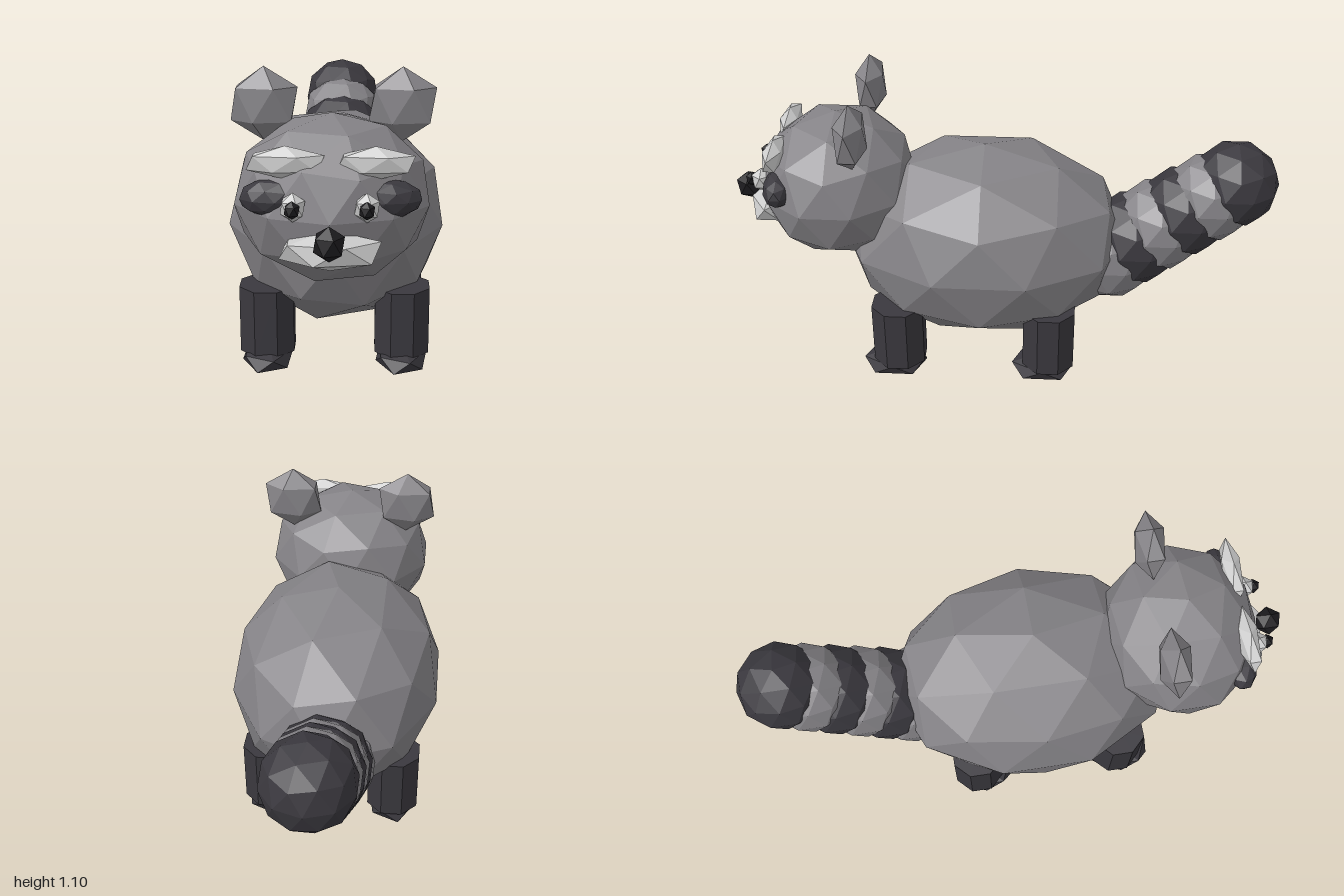
import * as THREE from 'three';

const material = (color) => new THREE.MeshStandardMaterial({ color, flatShading: true });

export function createModel() {
  const model = new THREE.Group();
  const fur = material(0x858387);
  const dark = material(0x3a383e);
  const light = material(0xcccccc);
  const black = material(0x1c1b1e);

  // Faceted ball with one corner pointing straight up
  function ball(name, mat, detail, [x, y, z], [rx, ry, rz], parent = model) {
    const geometry = new THREE.IcosahedronGeometry(1, detail);
    geometry.rotateX(-Math.atan2(1 + Math.sqrt(5), 2));
    geometry.rotateY(Math.PI / 2);
    geometry.scale(rx, ry, rz);
    geometry.computeVertexNormals();
    const mesh = new THREE.Mesh(geometry, mat);
    mesh.name = name;
    mesh.position.set(x, y, z);
    parent.add(mesh);
    return mesh;
  }

  function group(name) {
    const g = new THREE.Group();
    g.name = name;
    model.add(g);
    return g;
  }

  // Trunk
  ball('body', fur, 1, [0, 0.48, 0.07], [0.4, 0.377, 0.54]);

  // Head and face
  const head = group('head');
  ball('skull', fur, 1, [0, 0.7, 0.61], [0.32, 0.274, 0.29], head);
  ball('muzzle', light, 0, [0, 0.61, 0.867], [0.173, 0.065, 0.082], head);
  ball('nose', black, 0, [0, 0.66, 0.956], [0.052, 0.055, 0.052], head);
  for (const [side, s] of [['left', 1], ['right', -1]]) {
    ball(side + 'Ear', fur, 0, [s * 0.222, 0.98, 0.515], [0.121, 0.122, 0.06], head);
    ball(side + 'Brow', light, 0, [s * 0.135, 0.865, 0.81], [0.132, 0.052, 0.038], head);
    ball(side + 'EyePatch', dark, 1, [s * 0.165, 0.75, 0.79], [0.115, 0.062, 0.062], head);
    ball(side + 'Eye', light, 0, [s * 0.11, 0.745, 0.872], [0.042, 0.046, 0.042], head);
    ball(side + 'Pupil', black, 0, [s * 0.11, 0.747, 0.907], [0.026, 0.028, 0.026], head);
  }

  // Legs with paws
  for (const [end, z] of [['front', 0.38], ['rear', -0.18]]) {
    for (const [side, s] of [['Left', 1], ['Right', -1]]) {
      const limb = group(end + side + 'Leg');
      const shin = new THREE.Mesh(
        new THREE.CylinderGeometry(0.102, 0.102, 0.24, 8).rotateY(Math.PI / 8), dark);
      shin.name = 'shin';
      shin.position.set(s * 0.235, 0.19, z);
      limb.add(shin);
      ball('paw', dark, 0, [s * 0.235, 0.05, z + 0.02], [0.1, 0.048, 0.135], limb);
    }
  }

  // Ringed tail of overlapping balls, tapering to the tip
  const tail = group('tail');
  for (let i = 0; i < 6; i++) {
    const t = i / 5;
    const r = THREE.MathUtils.lerp(0.184, 0.16, t);
    const y = THREE.MathUtils.lerp(0.42, 0.725, t);
    const z = THREE.MathUtils.lerp(-0.4, -0.84, t);
    ball('tailRing' + (i + 1), i % 2 ? dark : fur, 1, [0, y, z], [r, r, r], tail);
  }

  return model;
}
